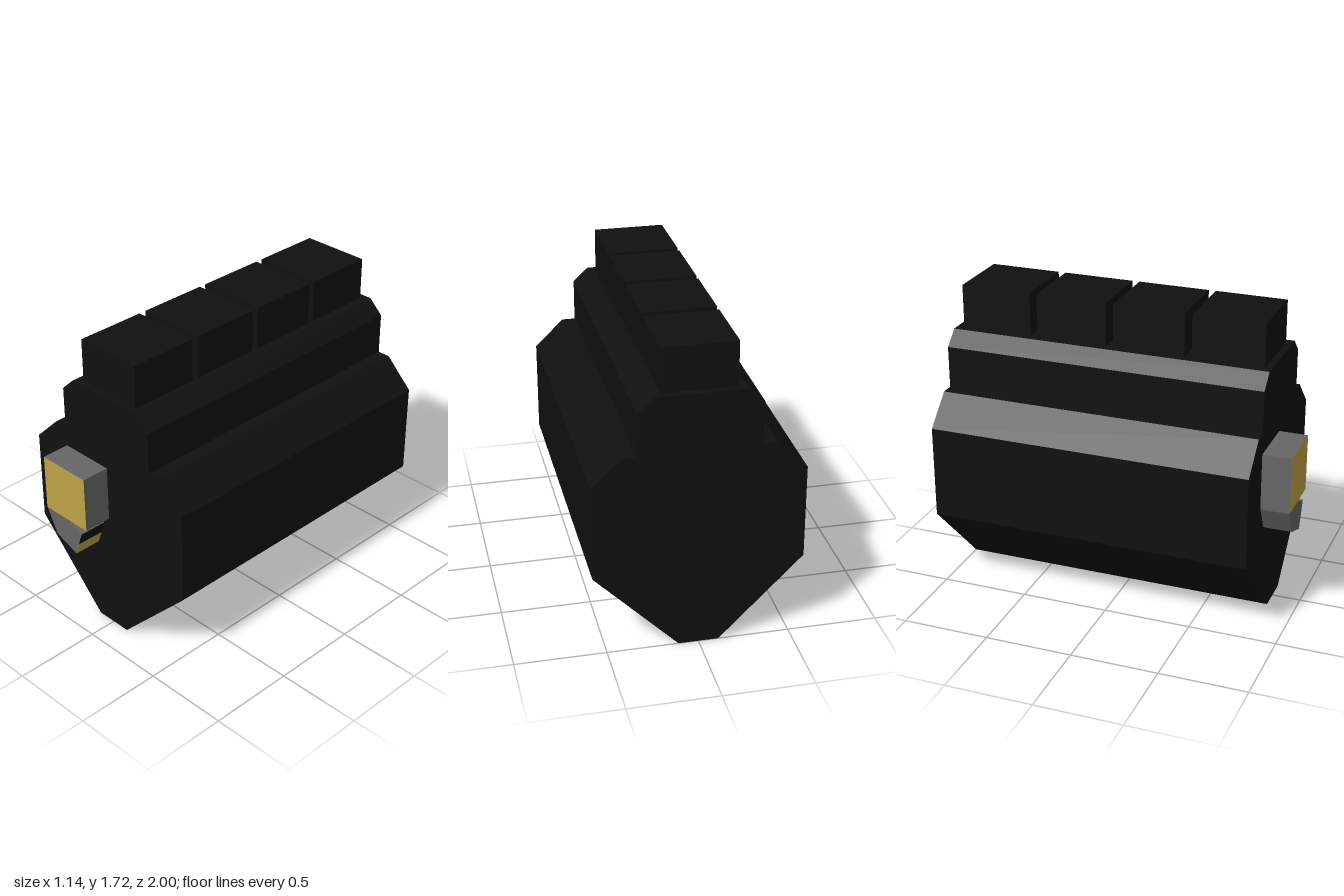
import * as THREE from 'three';

export function createModel() {
  const model = new THREE.Group();
  const material = (name, color) => {
    const m = new THREE.MeshStandardMaterial({ color });
    m.name = name;
    return m;
  };
  const black = material('black', 0x101010);
  const grey = material('grey', 0x666666);
  const gold = material('gold', 0xbfa444);

  const add = (name, geometry, mat, x = 0, y = 0, z = 0) => {
    const mesh = new THREE.Mesh(geometry, mat);
    mesh.name = name;
    mesh.position.set(x, y, z);
    model.add(mesh);
    return mesh;
  };
  // Prism from an x-y outline, running from z0 to z1
  const prism = (name, points, z0, z1, mat) => {
    const shape = new THREE.Shape(points.map(([x, y]) => new THREE.Vector2(x, y)));
    const geometry = new THREE.ExtrudeGeometry(shape, { depth: z1 - z0, bevelEnabled: false });
    return add(name, geometry, mat, 0, 0, z0);
  };

  // Body: mirrored stepped outline
  const half = [
    [0.11, 0], [0.57, 0.465], [0.57, 0.995], [0.405, 1.155],
    [0.33, 1.155], [0.33, 1.395], [0.245, 1.475],
  ];
  const mirrored = half.map(([x, y]) => [-x, y]).reverse();
  prism('body', [...half, ...mirrored], -1, 0.837, black);

  // Rail teeth along the top
  for (let i = 0; i < 4; i++) {
    add('railTooth', new THREE.BoxGeometry(0.404, 0.25, 0.408), black, 0, 1.598, 0.596 - i * 0.45);
  }

  // Square lamp with a gold front face
  add('lamp', new THREE.BoxGeometry(0.326, 0.326, 0.165),
    [grey, grey, grey, grey, gold, grey], -0.164, 0.872, 0.9175);

  // Tilted switch block below the lamp
  prism('switchBlock', [
    [-0.327, 0.71], [-0.253, 0.565], [-0.1, 0.51],
    [-0.045, 0.663], [-0.142, 0.698], [-0.142, 0.71],
  ], 0.835, 0.999, grey);

  // Two colour plates on the outer edge of the switch block
  const start = new THREE.Vector2(-0.1, 0.51);
  const edge = new THREE.Vector2(0.055, 0.153);
  [gold, black].forEach((mat, i) => {
    const centre = start.clone().addScaledVector(edge, 0.25 + i * 0.5);
    const plate = add(i ? 'upperSwitchPlate' : 'lowerSwitchPlate',
      new THREE.BoxGeometry(0.004, edge.length() / 2, 0.163), mat, centre.x, centre.y, 0.917);
    plate.rotation.z = edge.angle() - Math.PI / 2;
  });

  return model;
}
